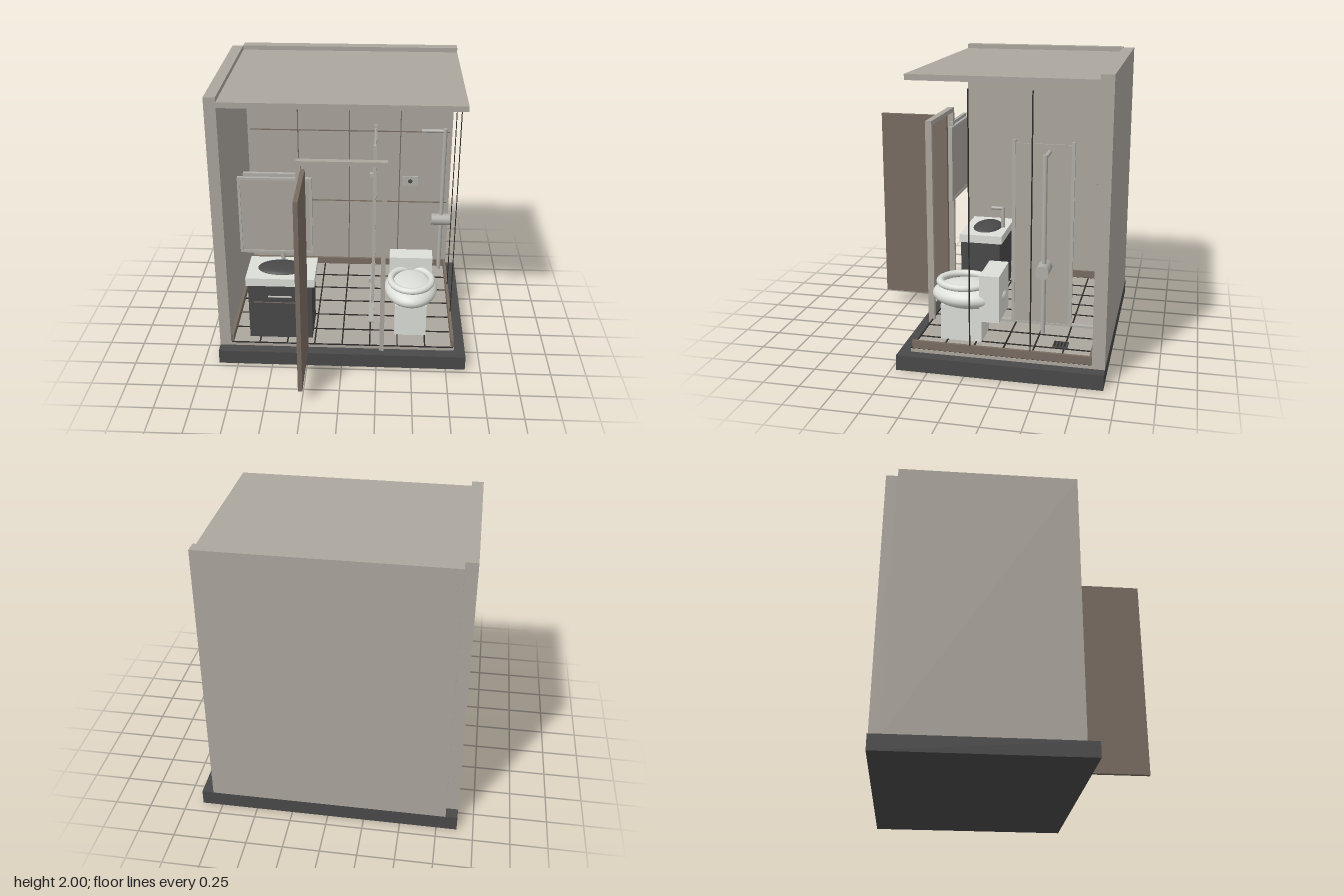
import * as THREE from 'three';

const material = (name, color) => {
  const m = new THREE.MeshStandardMaterial({ color });
  m.name = name;
  return m;
};

export function createModel() {
  const wall = material('warm grey wall', 0xaba69d);
  const dark = material('charcoal', 0x494949);
  const brown = material('brown wood', 0x796c61);
  const ceramic = material('white ceramic', 0xdcded8);
  const metal = material('brushed metal', 0xb0aea8);
  const joint = material('dark joint', 0x2c2a28);
  const lamp = material('lamp white', 0xd0d3ca);

  const root = new THREE.Group();
  root.name = 'bathroom';
  const group = (name) => {
    const g = new THREE.Group();
    g.name = name;
    root.add(g);
    return g;
  };
  const add = (parent, name, geometry, mat, x = 0, y = 0, z = 0) => {
    const mesh = new THREE.Mesh(geometry, mat);
    mesh.name = name;
    mesh.position.set(x, y, z);
    parent.add(mesh);
    return mesh;
  };
  // Box given by its limits on each axis
  const box = (parent, name, mat, [x0, x1], [y0, y1], [z0, z1]) =>
    add(parent, name, new THREE.BoxGeometry(x1 - x0, y1 - y0, z1 - z0), mat,
      (x0 + x1) / 2, (y0 + y1) / 2, (z0 + z1) / 2);
  // Round bar between two points
  const bar = (parent, name, mat, a, b, r) => {
    const p = new THREE.Vector3(...a), q = new THREE.Vector3(...b);
    const m = add(parent, name, new THREE.CylinderGeometry(r, r, p.distanceTo(q), 24), mat);
    m.position.copy(p).add(q).multiplyScalar(0.5);
    m.quaternion.setFromUnitVectors(new THREE.Vector3(0, 1, 0), q.sub(p).normalize());
    return m;
  };

  // Room shell, open at the front and the left
  const room = group('room');
  box(room, 'base', dark, [-0.89, 0.89], [0, 0.105], [-0.915, 0.465]);
  box(room, 'sideWall', wall, [-0.89, -0.81], [0.105, 2], [-0.83, 0.385]);
  box(room, 'backWall', wall, [-0.81, 0.81], [0.105, 2], [-0.915, -0.83]);
  box(room, 'ceiling', wall, [-0.81, 0.81], [1.93, 1.968], [-0.83, 0.385]);
  box(room, 'floor', wall, [-0.81, 0.81], [0.105, 0.127], [-0.83, 0.385]);

  // Floor joints
  const joints = group('floorJoints');
  for (let i = 0; i <= 8; i++) {
    const x = -0.8 + i * 0.2;
    box(joints, 'floorJoint', joint, [x - 0.005, x + 0.005], [0.126, 0.132], [-0.83, 0.38]);
  }
  for (let i = 0; i <= 6; i++) {
    const z = -0.82 + i * 0.2;
    box(joints, 'floorJoint', joint, [-0.805, 0.805], [0.126, 0.132], [z - 0.005, z + 0.005]);
  }

  // Wall joints
  const seams = group('wallJoints');
  for (const x of [-0.41, 0, 0.405])
    box(seams, 'uprightJoint', brown, [x - 0.004, x + 0.004], [0.185, 1.89], [-0.831, -0.825]);
  for (const y of [0.715, 1.325])
    box(seams, 'levelJoint', brown, [-0.79, 0.79], [y - 0.004, y + 0.004], [-0.831, -0.825]);
  for (const z of [-0.02, -0.425])
    box(seams, 'sideJoint', joint, [0.8, 0.806], [0.185, 1.89], [z - 0.004, z + 0.004]);

  // Skirting boards
  const skirting = group('skirting');
  box(skirting, 'backSkirting', brown, [-0.805, 0.805], [0.13, 0.185], [-0.83, -0.81]);
  box(skirting, 'rightSkirting', brown, [-0.81, -0.79], [0.13, 0.185], [-0.83, 0.375]);
  box(skirting, 'leftSkirting', brown, [0.788, 0.808], [0.13, 0.185], [-0.83, 0.375]);

  // Ceiling lamp
  add(room, 'ceilingLamp', new THREE.CylinderGeometry(0.16, 0.155, 0.022, 40), lamp, 0, 1.916, -0.22);

  // Door frame and open door
  const door = group('doorway');
  for (const s of [-1, 1]) {
    const x = s * 0.287;
    box(door, 'doorJamb', wall, [x - 0.016, x + 0.016], [0.105, 1.58], [0.365, 0.41]);
  }
  box(door, 'doorHead', wall, [-0.303, 0.303], [1.55, 1.582], [0.365, 0.41]);
  box(door, 'doorLeaf', brown, [-0.272, -0.242], [0.108, 1.525], [0.408, 0.915]);

  // Mirror, facing inwards, with its light bar
  const mirror = group('mirror');
  for (const [a, b] of [[-0.7, -0.683], [-0.217, -0.2]])
    box(mirror, 'mirrorSide', metal, [a, b], [0.88, 1.445], [0.357, 0.385]);
  for (const [a, b] of [[0.88, 0.898], [1.427, 1.445]])
    box(mirror, 'mirrorRail', metal, [-0.684, -0.216], [a, b], [0.357, 0.385]);
  box(mirror, 'mirrorGlass', wall, [-0.684, -0.216], [0.897, 1.428], [0.36, 0.376]);
  box(mirror, 'mirrorLight', metal, [-0.657, -0.25], [1.457, 1.48], [0.362, 0.388]);

  // Vanity with basin and tap
  const vanity = group('vanity');
  box(vanity, 'cabinet', dark, [-0.68, -0.22], [0.127, 0.565], [0, 0.3]);
  box(vanity, 'drawerJoint', brown, [-0.64, -0.26], [0.421, 0.427], [0.298, 0.303]);
  bar(vanity, 'drawerHandle', metal, [-0.535, 0.475, 0.306], [-0.365, 0.475, 0.306], 0.007);
  box(vanity, 'countertop', ceramic, [-0.695, -0.2], [0.563, 0.624], [-0.02, 0.308]);
  const basin = add(vanity, 'basin', new THREE.SphereGeometry(1, 40, 20), dark, -0.45, 0.62, 0.14);
  basin.scale.set(0.175, 0.036, 0.11);
  bar(vanity, 'tapPost', metal, [-0.45, 0.62, 0.02], [-0.45, 0.788, 0.02], 0.015);
  bar(vanity, 'tapSpout', metal, [-0.45, 0.776, 0.02], [-0.45, 0.776, 0.112], 0.013);

  // Toilet
  const toilet = group('toilet');
  box(toilet, 'pedestal', ceramic, [0.38, 0.61], [0.127, 0.38], [-0.055, 0.23]);
  box(toilet, 'cistern', ceramic, [0.335, 0.652], [0.295, 0.622], [-0.185, -0.05]);
  const bowl = add(toilet, 'bowl', new THREE.SphereGeometry(1, 48, 28), ceramic, 0.495, 0.435, 0.055);
  bowl.scale.set(0.193, 0.093, 0.256);
  const seat = add(toilet, 'seat', new THREE.TorusGeometry(0.15, 0.024, 16, 48), ceramic, 0.495, 0.52, 0.09);
  seat.rotation.x = Math.PI / 2;
  seat.scale.set(1, 1.12, 1);

  // Shower column on the left side
  const shower = group('shower');
  bar(shower, 'column', metal, [0.73, 0.29, -0.495], [0.73, 1.48, -0.495], 0.016);
  bar(shower, 'showerArm', metal, [0.555, 1.462, -0.495], [0.735, 1.462, -0.495], 0.014);
  bar(shower, 'valve', metal, [0.655, 0.728, -0.495], [0.805, 0.728, -0.495], 0.045);
  box(shower, 'drain', dark, [0.5, 0.6], [0.127, 0.138], [-0.64, -0.54]);
  for (let i = 0; i < 4; i++) {
    const z = -0.625 + i * 0.023;
    box(shower, 'drainSlot', joint, [0.512, 0.588], [0.137, 0.14], [z, z + 0.01]);
  }

  // Shower screen
  const screen = group('showerScreen');
  box(screen, 'screenPanel', wall, [0.205, 0.217], [0.14, 1.44], [-0.61, -0.19]);
  for (const z of [-0.605, -0.195])
    box(screen, 'screenPost', metal, [0.2, 0.222], [0.14, 1.46], [z - 0.012, z + 0.012]);
  for (const y of [0.34, 1.225])
    box(screen, 'screenHinge', metal, [0.178, 0.206], [y - 0.017, y + 0.017], [-0.215, -0.18]);
  box(screen, 'threshold', metal, [0.185, 0.222], [0.127, 0.142], [-0.81, 0.08]);

  // Wall switch plate
  const plate = group('wallPlate');
  box(plate, 'plate', metal, [0.428, 0.555], [0.865, 0.943], [-0.83, -0.817]);
  bar(plate, 'plateButton', dark, [0.492, 0.904, -0.82], [0.492, 0.904, -0.81], 0.017);

  return root;
}
